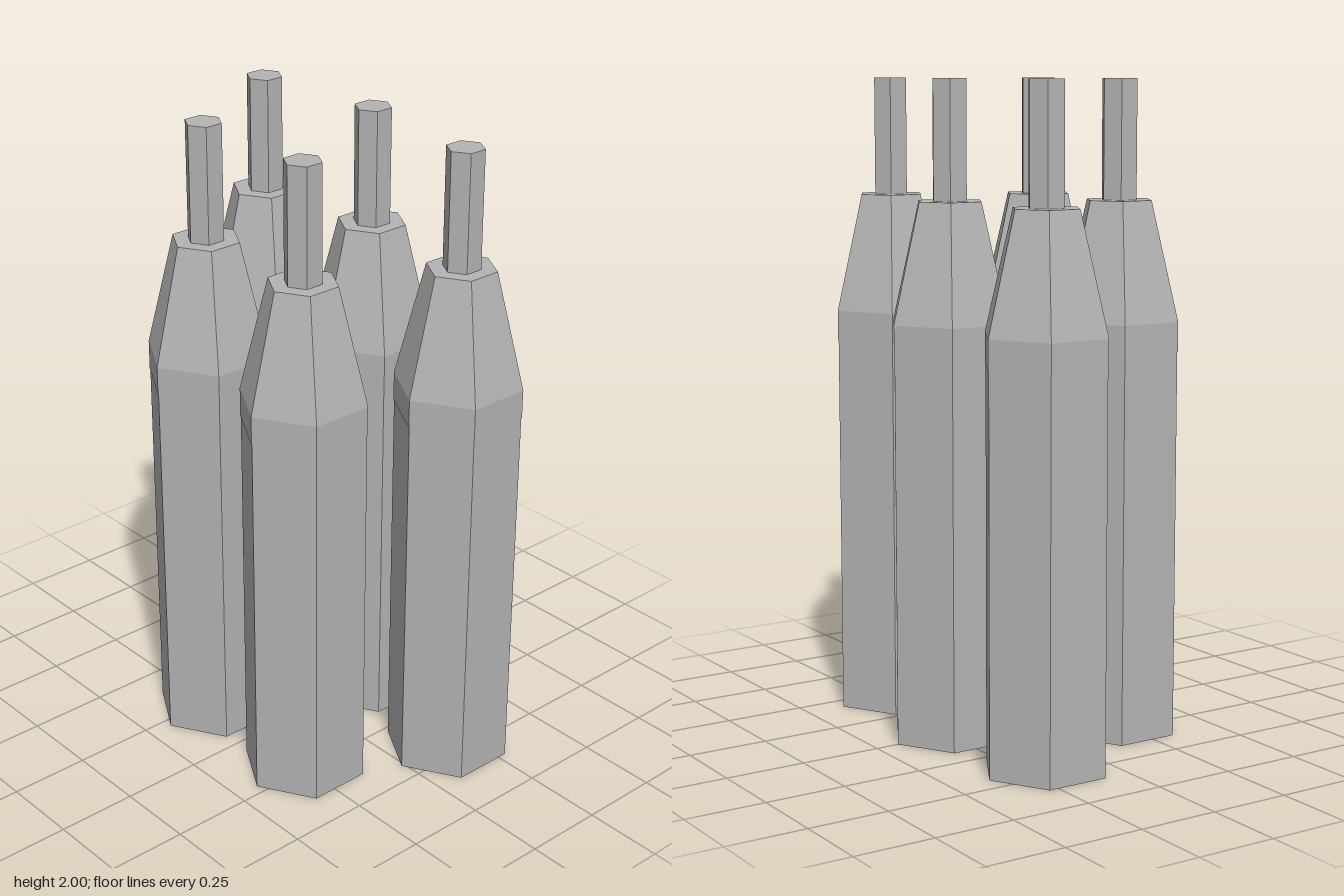
import * as THREE from 'three';

export function createModel() {
  const model = new THREE.Group();
  const grey = new THREE.MeshStandardMaterial({ color: 0xb4b4b4, flatShading: true });
  grey.name = 'grey';

  // Six-sided sections stacked up each pillar: name, bottom y, top y, bottom radius, top radius
  const sections = [
    ['body', 0, 1.28, 0.194, 0.194],
    ['collar', 1.19, 1.28, 0.196, 0.196],
    ['shoulder', 1.28, 1.64, 0.196, 0.106],
    ['tip', 1.64, 2, 0.057, 0.057],
  ].map(([name, y0, y1, r0, r1]) => {
    const geometry = new THREE.CylinderGeometry(r1, r0, y1 - y0, 6);
    geometry.translate(0, (y0 + y1) / 2, 0);
    return { name, geometry };
  });

  // Staggered cluster: three behind, two in front
  const places = [
    ['backCentrePillar', 0, -0.233],
    ['backLeftPillar', 0.435, -0.182],
    ['backRightPillar', -0.435, -0.182],
    ['frontLeftPillar', 0.218, 0.229],
    ['frontRightPillar', -0.218, 0.229],
  ];
  for (const [name, x, z] of places) {
    const pillar = new THREE.Group();
    pillar.name = name;
    pillar.position.set(x, 0, z);
    for (const section of sections) {
      const mesh = new THREE.Mesh(section.geometry, grey);
      mesh.name = section.name;
      pillar.add(mesh);
    }
    model.add(pillar);
  }
  return model;
}
